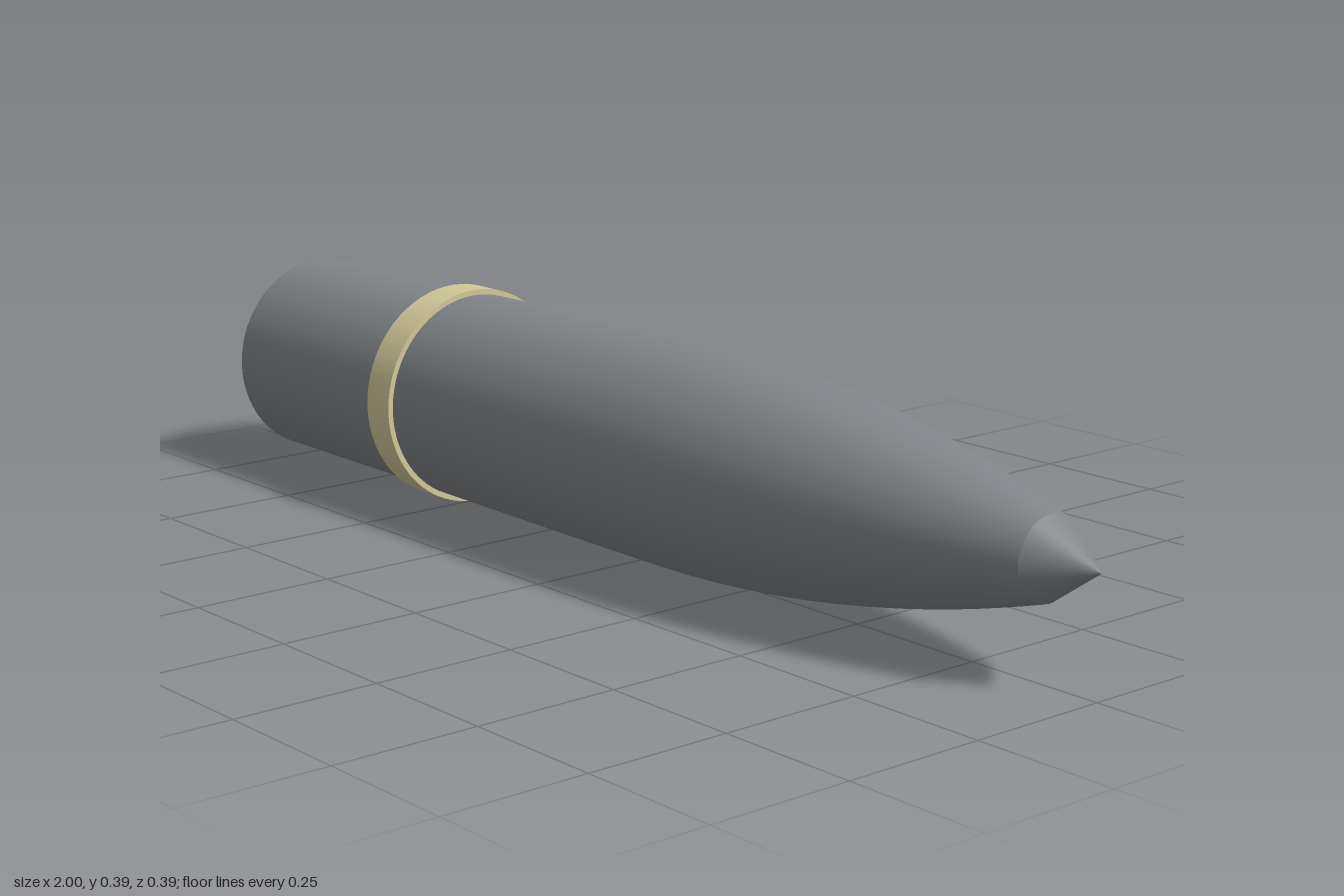
import * as THREE from 'three';

const AXIS_Y = 0.196;

// Lathe a list of [x position, radius] pairs around the long axis
function turned(name, profile, material) {
  const points = profile.map(([x, r]) => new THREE.Vector2(r, x));
  const mesh = new THREE.Mesh(new THREE.LatheGeometry(points, 64), material);
  mesh.rotation.z = -Math.PI / 2;
  mesh.position.y = AXIS_Y;
  mesh.name = name;
  return mesh;
}

export function createModel() {
  const steel = new THREE.MeshStandardMaterial({ color: 0x808488 });
  steel.name = 'grey steel';
  const brass = new THREE.MeshStandardMaterial({ color: 0xd2c99a });
  brass.name = 'pale brass';

  const model = new THREE.Group();
  model.name = 'shell';

  // Slightly tapered body running into a curved nose
  const body = [[-1, 0.183], [-0.67, 0.184], [-0.53, 0.186], [-0.3, 0.188], [0, 0.19]];
  for (let i = 0; i <= 12; i++) {
    const t = i / 12;
    body.push([0.11 + 0.79 * t, 0.19 - 0.121 * t * t]);
  }
  model.add(turned('body', body, steel));

  // Pointed fuse tip
  model.add(turned('tip', [[0.9, 0.069], [1, 0]], steel));

  // Flat base
  const base = new THREE.Mesh(new THREE.CircleGeometry(0.183, 64), steel);
  base.rotation.y = -Math.PI / 2;
  base.position.set(-1, AXIS_Y, 0);
  base.name = 'base';
  model.add(base);

  // Driving band: outer face and two flat sides
  const [x0, x1, r] = [-0.563, -0.498, 0.196];
  model.add(turned('drivingBand', [[x0, r], [x1, r]], brass));
  model.add(turned('bandRearFace', [[x0, 0.18], [x0, r]], brass));
  model.add(turned('bandFrontFace', [[x1, r], [x1, 0.18]], brass));

  return model;
}
